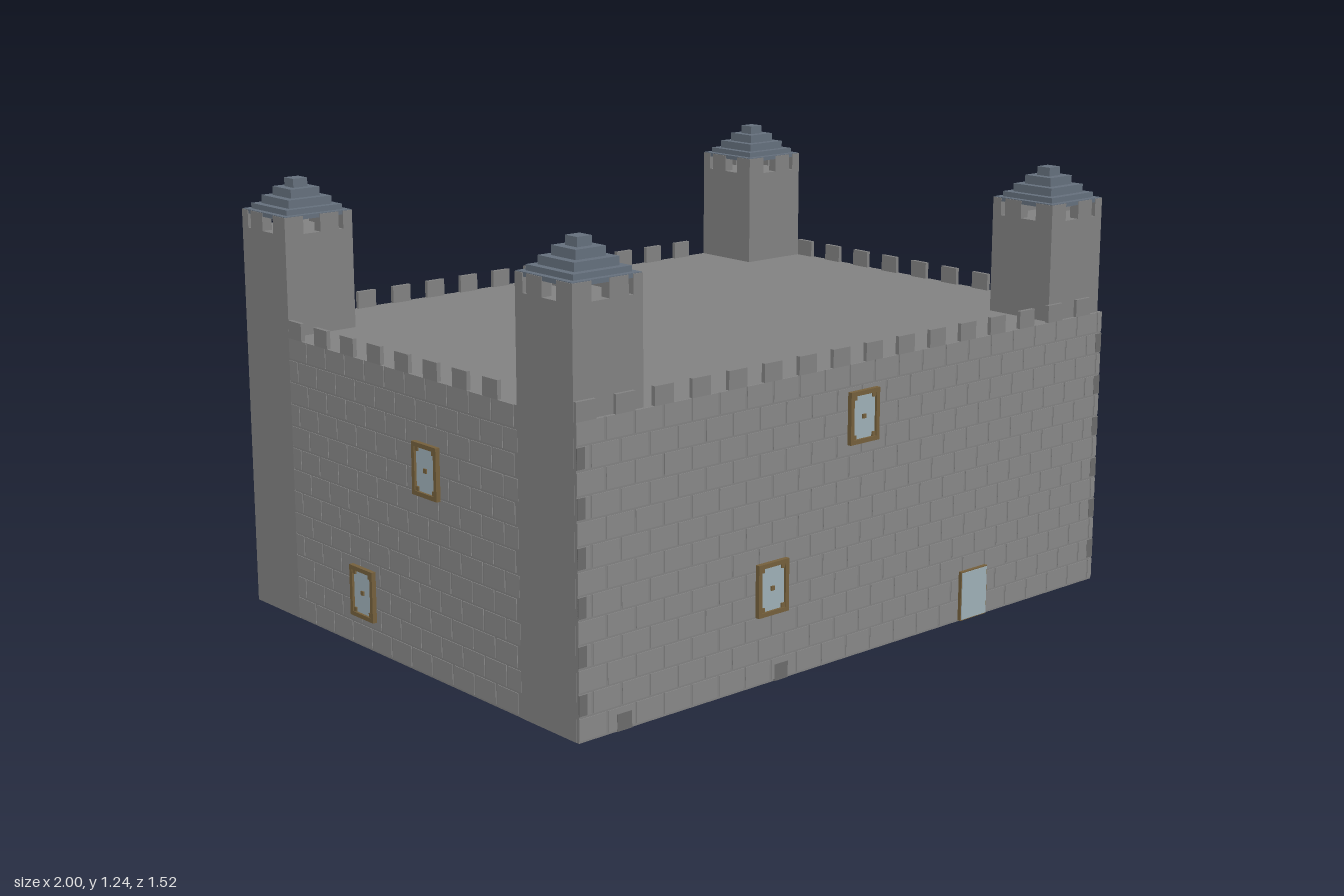
import * as THREE from 'three';
import { mergeGeometries } from 'three/addons/utils/BufferGeometryUtils.js';

const mat = (color) => new THREE.MeshStandardMaterial({ color, flatShading: true });
const stone = mat(0x828282), brick = mat(0x888888), darkStone = mat(0x6c6c6c);
const slate = mat(0x65707d), wood = mat(0x75603c), glass = mat(0x9fb0b8), iron = mat(0x45423c);

// Box geometry given by its lower and upper corners
function span(x0, x1, y0, y1, z0, z1) {
  return new THREE.BoxGeometry(x1 - x0, y1 - y0, z1 - z0)
    .translate((x0 + x1) / 2, (y0 + y1) / 2, (z0 + z1) / 2);
}

function add(parent, name, geometries, material) {
  const mesh = new THREE.Mesh(mergeGeometries([geometries].flat()), material);
  mesh.name = name;
  parent.add(mesh);
  return mesh;
}

const WALL_H = 0.815, ROW = WALL_H / 13, BRICK = 0.093;

// Framed window on a wall whose outside is at local z = 0
function addWindow(wall, u, y, bare) {
  const g = new THREE.Group();
  g.name = 'window';
  g.position.set(u, y, 0);
  const w = 0.054, h = 0.072, b = 0.012;
  if (bare) {
    add(g, 'windowFrame', span(-w, w, -h, h, 0, 0.01), wood);
    add(g, 'windowPane', span(-w + 0.003, w - 0.003, -h + 0.003, h - 0.003, 0.009, 0.012), glass);
  } else {
    const frame = [
      span(-w, w, h - b, h, 0, 0.013), span(-w, w, -h, -h + b, 0, 0.013),
      span(-w, -w + b, -h + b, h - b, 0, 0.013), span(w - b, w, -h + b, h - b, 0, 0.013),
      span(-0.006, 0.006, -0.006, 0.006, 0, 0.01),
    ];
    // corner blocks inside the frame
    for (const sx of [-1, 1]) for (const sy of [-1, 1]) {
      frame.push(new THREE.BoxGeometry(b, b, 0.01).translate(sx * (w - 1.5 * b), sy * (h - 1.5 * b), 0.005));
    }
    add(g, 'windowFrame', frame, wood);
    add(g, 'windowPane', span(-w + b, w - b, -h + b, h - b, 0, 0.006), glass);
  }
  wall.add(g);
}

// One wall: slab, brick courses, battlements, darker stones and windows
function buildWall(o) {
  const wall = new THREE.Group();
  wall.name = o.name;
  add(wall, 'wallSlab', span(o.u0, o.u1, 0, WALL_H, -0.012, -0.002), stone);

  const bricks = [];
  for (let r = 0; r < 13; r++) {
    for (let u = o.u0 - (r % 2) * BRICK / 2; u < o.u1; u += BRICK) {
      const a = Math.max(u, o.u0), b = Math.min(u + BRICK - 0.007, o.u1);
      if (b - a > 0.01) bricks.push(span(a, b, r * ROW + 0.006, (r + 1) * ROW, -0.003, 0));
    }
  }
  add(wall, 'bricks', bricks, brick);

  const merlons = [];
  for (let i = 0; i < o.count; i++) {
    const u = o.start + i * o.pitch;
    merlons.push(span(u, u + 0.062, WALL_H, 0.865, -0.012, 0));
  }
  add(wall, 'battlements', merlons, stone);

  const dark = o.stones.map((u) => span(u - 0.024, u + 0.024, 0, 0.046, -0.002, 0.001));
  if (o.quoins) {
    for (let y = 0.07; y < 0.75; y += 2 * ROW) {
      dark.push(span(o.u0, o.u0 + 0.025, y, y + 0.055, -0.002, 0.001),
        span(o.u1 - 0.025, o.u1, y, y + 0.055, -0.002, 0.001));
    }
  }
  if (dark.length) add(wall, 'darkStones', dark, darkStone);
  for (const [u, y, bare] of o.windows) addWindow(wall, u, y, bare);
  wall.position.set(...o.position);
  wall.rotation.y = o.turn;
  return wall;
}

// Corner tower with an open top storey and a stepped roof
function buildTower(x, z) {
  const tower = new THREE.Group();
  tower.name = 'tower';
  const w = 0.11, t = 0.03;
  add(tower, 'towerShaft', span(-w, w, 0, 1.1, -w, w), stone);
  const posts = [];
  for (const u of [-w, 0.005]) {
    for (const s of [-w, w - t]) {
      posts.push(span(u, u + 0.06, 1.1, 1.15, s, s + t), span(s, s + t, 1.1, 1.15, -u - 0.06, -u));
    }
  }
  add(tower, 'towerPosts', posts, stone);
  const steps = [[0.108, 1.14], [0.091, 1.152], [0.07, 1.167], [0.047, 1.19], [0.023, 1.215], [0, 1.24]];
  const roof = [];
  for (let i = 0; i < 5; i++) {
    const [r, y] = steps[i];
    roof.push(span(-r, r, y, steps[i + 1][1], -r, r));
  }
  add(tower, 'towerRoof', roof, slate);
  tower.position.set(x, 0, z);
  return tower;
}

export function createModel() {
  const model = new THREE.Group();
  model.name = 'castle';

  add(model, 'keep', span(-0.976, 0.975, 0, WALL_H, -0.722, 0.737), stone);
  for (const x of [-0.876, 0.866]) for (const z of [-0.623, 0.627]) model.add(buildTower(x, z));

  model.add(buildWall({
    name: 'frontWall', u0: -0.985, u1: 0.985, start: -0.985, count: 16, pitch: 0.1235,
    stones: [-0.84, -0.3], quoins: true, windows: [[-0.01, 0.67], [-0.34, 0.263], [0.447, 0.076, true]],
    position: [0, 0, 0.747], turn: 0,
  }));
  model.add(buildWall({
    name: 'leftWall', u0: -0.745, u1: 0.733, start: -0.694, count: 12, pitch: 0.127,
    stones: [0.535], quoins: true, windows: [[-0.175, 0.174], [0.233, 0.35]],
    position: [0.987, 0, 0], turn: Math.PI / 2,
  }));
  model.add(buildWall({
    name: 'rightWall', u0: -0.513, u1: 0.517, start: -0.511, count: 8, pitch: 0.127,
    stones: [], windows: [[-0.175, 0.16], [0.135, 0.57]],
    position: [-0.987, 0, 0], turn: -Math.PI / 2,
  }));
  const back = buildWall({
    name: 'backWall', u0: -0.756, u1: 0.766, start: -0.682, count: 12, pitch: 0.1235,
    stones: [0.394], windows: [[-0.295, 0.235], [0.293, 0.42]],
    position: [0, 0, -0.734], turn: Math.PI,
  });
  // main door and the lanterns beside it
  add(back, 'door', [span(-0.107, 0.112, 0, 0.332, 0, 0.018), span(-0.1, 0.105, 0, 0.325, 0.017, 0.026)], wood);
  for (const u of [-0.178, 0.18]) {
    add(back, 'lantern', [span(u - 0.008, u + 0.008, 0.14, 0.19, 0.012, 0.026),
      span(u - 0.004, u + 0.004, 0.15, 0.16, 0, 0.014)], iron);
  }
  model.add(back);
  return model;
}
